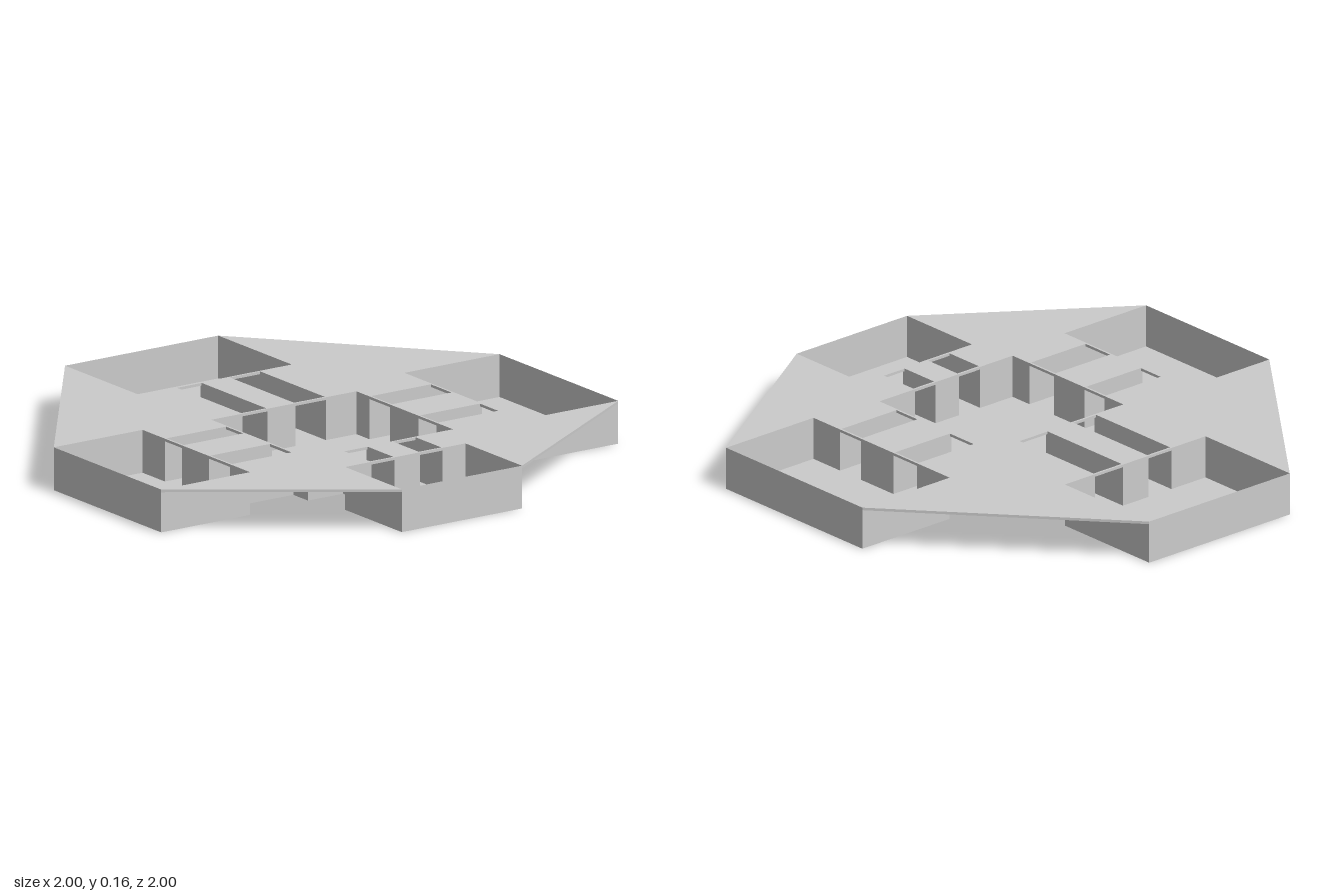
import * as THREE from 'three';
import { mergeGeometries } from 'three/addons/utils/BufferGeometryUtils.js';

const TOP = 0.16;      // top of the deck
const UNDER = 0.15;    // underside of the deck
const LINTEL = 0.008;  // deck strip left across each passage end

const CENTRE = { x: [-0.127, 0.473], z: [-0.304, 0.333] };

// Each arm: a room reached from the centre through two passages.
// "span" and "passages" run across the arm, "inner" is the room's near side.
// Listed in order around the deck.
const ARMS = [
  { name: 'back', axis: 'z', sign: -1, span: [-0.222, 0.516], inner: 0.582, passages: [[-0.046, 0.083], [0.259, 0.372]] },
  { name: 'left', axis: 'x', sign: 1, span: [-0.235, 0.293], inner: 0.648, passages: [[-0.135, -0.036], [0.076, 0.178]] },
  { name: 'front', axis: 'z', sign: 1, span: [0.505, -0.163], inner: 0.61, passages: [[0.249, 0.382], [-0.024, 0.083]] },
  { name: 'right', axis: 'x', sign: -1, span: [0.359, -0.314], inner: 0.543, passages: [[0.087, 0.196], [-0.17, -0.036]] },
];

const material = new THREE.MeshStandardMaterial({ color: 0xcccccc, flatShading: true, side: THREE.DoubleSide });

// Across/outward position on an arm to [x, z]
const place = (arm, across, out) =>
  arm.axis === 'z' ? [across, arm.sign * out] : [arm.sign * out, across];

// Distance from the origin to the centre room's edge on an arm's side
const centreEdge = (arm) => Math.abs(CENTRE[arm.axis][arm.sign > 0 ? 1 : 0]);

// Upright sheet between two floor points
function wall([x1, z1], [x2, z2], height) {
  const g = new THREE.PlaneGeometry(Math.hypot(x2 - x1, z2 - z1), height);
  g.rotateY(-Math.atan2(z2 - z1, x2 - x1));
  return g.translate((x1 + x2) / 2, height / 2, (z1 + z2) / 2);
}

// Flat sheet at ground level between opposite corners
function floor([x1, z1], [x2, z2]) {
  const g = new THREE.PlaneGeometry(Math.abs(x2 - x1), Math.abs(z2 - z1));
  return g.rotateX(-Math.PI / 2).translate((x1 + x2) / 2, 0, (z1 + z2) / 2);
}

function rectPath([x1, z1], [x2, z2]) {
  return new THREE.Path([[x1, z1], [x2, z1], [x2, z2], [x1, z2]].map((p) => new THREE.Vector2(...p)));
}

function addMesh(parent, name, geometry) {
  const mesh = new THREE.Mesh(geometry, material);
  mesh.name = name;
  parent.add(mesh);
}

// Wall pieces along a line across the arm, left open at both passages
function wallWithDoors(arm, from, to, out) {
  const stops = [from, ...arm.passages.flat(), to].sort((a, b) => a - b);
  return [0, 2, 4].map((i) => wall(place(arm, stops[i], out), place(arm, stops[i + 1], out), UNDER));
}

// Thin deck, notched around the rooms and pierced over centre and passages
function deckGeometry() {
  const outline = ARMS.flatMap((arm) => {
    const [a, b] = arm.span;
    return [place(arm, a, 1), place(arm, a, arm.inner), place(arm, b, arm.inner), place(arm, b, 1)];
  });
  const shape = new THREE.Shape(outline.map((p) => new THREE.Vector2(...p)));
  shape.holes.push(rectPath([CENTRE.x[0], CENTRE.z[0]], [CENTRE.x[1], CENTRE.z[1]]));
  for (const arm of ARMS) {
    for (const [a, b] of arm.passages) {
      shape.holes.push(rectPath(place(arm, a, centreEdge(arm) + LINTEL), place(arm, b, arm.inner - LINTEL)));
    }
  }
  const g = new THREE.ExtrudeGeometry(shape, { depth: TOP - UNDER, bevelEnabled: false });
  return g.rotateX(Math.PI / 2).translate(0, TOP, 0);
}

export function createModel() {
  const model = new THREE.Group();
  model.name = 'floorPlan';
  addMesh(model, 'deck', deckGeometry());

  // Centre room
  const centre = new THREE.Group();
  centre.name = 'centreRoom';
  model.add(centre);
  addMesh(centre, 'centreFloor', floor([CENTRE.x[0], CENTRE.z[0]], [CENTRE.x[1], CENTRE.z[1]]));
  addMesh(centre, 'centreWalls', mergeGeometries(ARMS.flatMap((arm) => {
    const [from, to] = CENTRE[arm.axis === 'z' ? 'x' : 'z'];
    return wallWithDoors(arm, from, to, centreEdge(arm));
  })));

  for (const arm of ARMS) {
    const group = new THREE.Group();
    group.name = arm.name + 'Arm';
    model.add(group);
    const [a, b] = arm.span;
    const near = centreEdge(arm);

    // Outer room
    addMesh(group, arm.name + 'RoomFloor', floor(place(arm, a, arm.inner), place(arm, b, 1)));
    addMesh(group, arm.name + 'RoomWalls', mergeGeometries([
      wall(place(arm, a, 1), place(arm, b, 1), TOP),
      wall(place(arm, a, arm.inner), place(arm, a, 1), UNDER),
      wall(place(arm, b, arm.inner), place(arm, b, 1), UNDER),
      ...wallWithDoors(arm, a, b, arm.inner),
    ]));

    // Passages to the centre
    addMesh(group, arm.name + 'PassageFloors', mergeGeometries(
      arm.passages.map(([p, q]) => floor(place(arm, p, near), place(arm, q, arm.inner)))));
    addMesh(group, arm.name + 'PassageWalls', mergeGeometries(
      arm.passages.flat().map((p) => wall(place(arm, p, near), place(arm, p, arm.inner), UNDER))));
  }
  return model;
}
